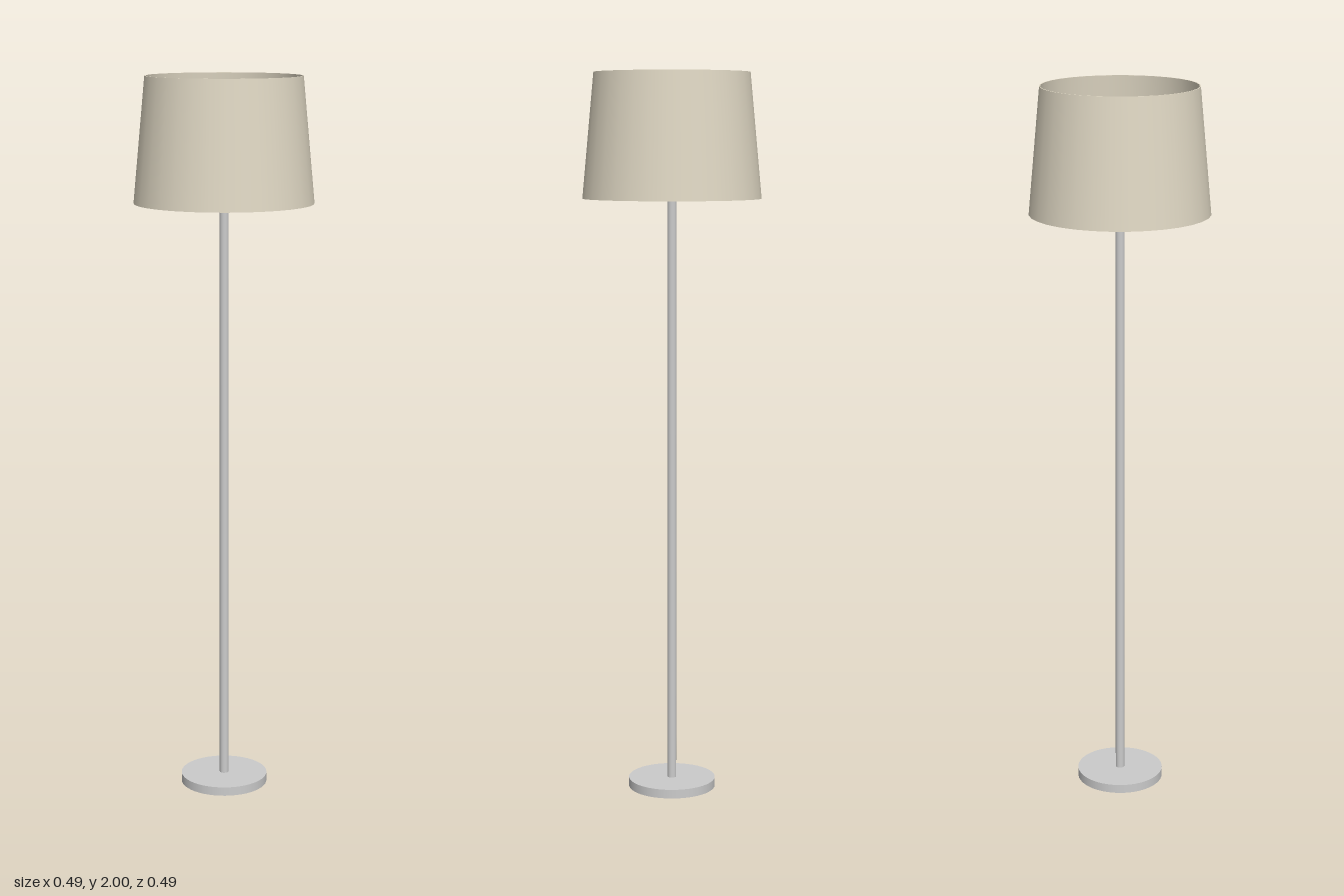
import * as THREE from 'three';

export function createModel() {
  const model = new THREE.Group();
  const metal = new THREE.MeshStandardMaterial({ color: 0xcccccc });
  const fabric = new THREE.MeshStandardMaterial({ color: 0xe0d8c4, side: THREE.DoubleSide });

  const add = (name, geometry, y, material = metal) => {
    const mesh = new THREE.Mesh(geometry, material);
    mesh.name = name;
    mesh.position.y = y;
    model.add(mesh);
    return mesh;
  };
  const points = (list) => list.map(([r, y]) => new THREE.Vector2(r, y));

  // Round foot, pole and lamp holder
  add('base', new THREE.CylinderGeometry(0.122, 0.122, 0.025, 48), 0.0125);
  add('pole', new THREE.CylinderGeometry(0.0125, 0.0125, 1.645, 24), 0.8425);
  add('socket', new THREE.CylinderGeometry(0.017, 0.017, 0.055, 24), 1.6875);

  // Bulb: narrow neck swelling into a ball
  const bulb = [[0.013, 1.71], [0.014, 1.725], [0.019, 1.738]];
  for (let i = 0; i <= 10; i++) {
    const a = THREE.MathUtils.lerp(-0.7, Math.PI / 2, i / 10);
    bulb.push([Math.max(0, 0.03 * Math.cos(a)), 1.765 + 0.03 * Math.sin(a)]);
  }
  add('bulb', new THREE.LatheGeometry(points(bulb), 24), 0);

  // Three spokes carrying the shade, one pointing forward
  for (let i = 0; i < 3; i++) {
    const rod = new THREE.CylinderGeometry(0.003, 0.003, 0.242, 8);
    rod.rotateX(Math.PI / 2).translate(0, 0, 0.121);
    add('shadeSpoke', rod, 1.675).rotation.y = (i * Math.PI * 2) / 3;
  }

  // Tapered thin-walled shade, open at both ends; doubled points keep the rims sharp
  const shade = [
    [0.245, 1.66], [0.213, 2], [0.213, 2], [0.21, 2], [0.21, 2],
    [0.242, 1.66], [0.242, 1.66], [0.245, 1.66],
  ];
  add('shade', new THREE.LatheGeometry(points(shade), 32), 0, fabric);

  return model;
}
